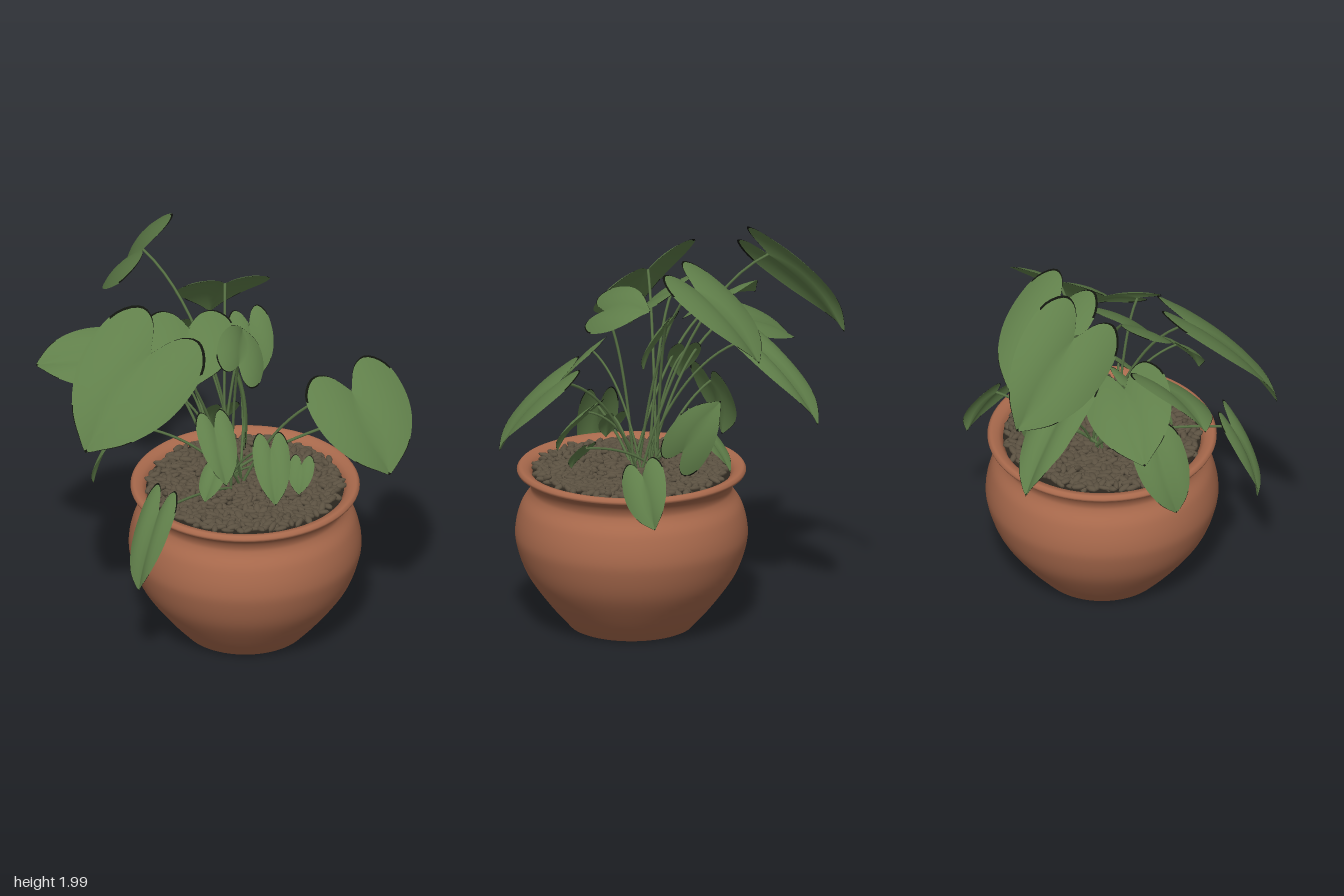
import * as THREE from 'three';
import { mergeGeometries } from 'three/addons/utils/BufferGeometryUtils.js';

const V = (x, y, z) => new THREE.Vector3(x, y, z);
const spline = (pts) => new THREE.SplineCurve(pts.map((p) => new THREE.Vector2(...p)));
const CX = 0.11, CZ = 0.22; // pot axis

function mat(name, color, side = THREE.FrontSide) {
  const m = new THREE.MeshStandardMaterial({ color, side });
  m.name = name;
  return m;
}

function seeded(seed) {
  return () => {
    seed = (seed * 16807) % 2147483647;
    return seed / 2147483647;
  };
}

// Half outline of a heart-shaped leaf: x = across, y = along the midrib
const outline = spline([[0, 0], [0.28, -0.24], [0.62, -0.3], [0.93, -0.13], [1, 0.18],
  [0.89, 0.48], [0.58, 0.76], [0.2, 0.93], [0, 1]]);
const COLUMNS = [0, 0.2, 0.4, 0.6, 0.8, 0.965, 1];

// Heart-shaped blade from stalk joint to tip, rolled about its midrib;
// group 0 is the green blade, group 1 the withered margin on lobes and tip
function leafGeometry(joint, tip, halfWidth, roll) {
  const D = tip.clone().sub(joint), len = D.length(), axis = D.clone().normalize();
  const flat = V(-D.z, 0, D.x).normalize();
  const lift = flat.clone().cross(axis);
  const side = flat.clone().multiplyScalar(Math.cos(roll)).addScaledVector(lift, Math.sin(roll));
  const up = side.clone().cross(axis);
  const rows = 30, cols = COLUMNS.length - 1, w = 2 * cols + 1, pos = [], blade = [], margin = [];
  for (let i = 0; i <= rows; i++) {
    const t = i / rows, o = outline.getPoint(t);
    for (let k = -cols; k <= cols; k++) {
      const s = Math.sign(k) * COLUMNS[Math.abs(k)];
      const v = s * o.x, a = Math.abs(v), u = t + (o.y - t) * Math.abs(s);
      const bow = len * (0.22 * u * (1 - u) + 0.2 * a * (1 - a));
      const p = joint.clone().addScaledVector(D, u).addScaledVector(side, v * halfWidth).addScaledVector(up, bow);
      pos.push(p.x, p.y, p.z);
      if (i < rows && k < cols) {
        const c = i * w + k + cols, d = c + w;
        const rim = (k === -cols || k === cols - 1) && (t < 0.4 || t > 0.7);
        (rim || t > 0.95 ? margin : blade).push(c, c + 1, d, d, c + 1, d + 1);
      }
    }
  }
  const g = new THREE.BufferGeometry();
  g.setAttribute('position', new THREE.Float32BufferAttribute(pos, 3));
  g.setIndex([...blade, ...margin]);
  g.addGroup(0, blade.length, 0);
  g.addGroup(blade.length, margin.length, 1);
  g.computeVertexNormals();
  return g;
}

// Tall and drooping leaves: joint xyz, tip xyz, half width, roll
const LARGE = [
  [-0.2, 1.82, -0.38, -0.16, 1.47, -0.77, 0.23, 0.78],
  [0.12, 1.72, -0.1, 0.16, 1.38, -0.43, 0.225, 0],
  [-0.39, 1.63, 0.27, -0.79, 1.25, 0.45, 0.28, 0.5],
  [-0.46, 1.46, -0.03, -0.83, 1.42, -0.15, 0.17, 0.53],
  [-0.33, 1.45, -0.15, -0.64, 1.26, -0.38, 0.21, -0.24],
  [-0.13, 1.62, 0.08, -0.18, 1.42, 0.3, 0.225, 0.1],
  [0.02, 1.54, 0.38, 0.13, 1.59, 0.12, 0.14, -0.7],
  [0.2, 1.55, 0.02, 0.22, 1.32, 0.13, 0.105, -0.23],
  [0.57, 1.34, 0.46, 0.67, 1.0, 0.73, 0.26, -0.1],
  [-0.12, 1.41, -0.3, -0.12, 1.0, -0.65, 0.14, -0.1],
  [-0.43, 1.08, -0.03, -0.57, 0.77, -0.05, 0.13, -0.4],
  [-0.44, 0.9, 0.53, -0.56, 0.51, 0.58, 0.1, 0.1],
  [0.61, 0.91, 0.03, 0.72, 0.68, -0.06, 0.115, -0.8],
  [0.2, 0.92, -0.06, 0.2, 1.19, -0.25, 0.12, -1.35],
];

// Small low leaves: joint xyz, heading from the front, drop of the tip
const SMALL = [
  [-0.14, 1.28, 0.48, 0, 0.23], [0.17, 1.07, 0.42, -0.2, 0.22], [0.34, 0.94, 0.39, -0.5, 0.12],
  [-0.09, 0.97, 0.36, -0.9, 0.13], [-0.15, 1.32, 0.02, -1.1, 0.18], [0.1, 1.03, -0.1, 3.1, 0.23],
];

export function createModel() {
  const model = new THREE.Group();
  model.name = 'pottedPlant';
  const terracotta = mat('terracotta', 0xa8694c);
  const leafGreen = mat('leafGreen', 0x607f4a, THREE.DoubleSide);
  const marginBlack = mat('marginBlack', 0x11140d, THREE.DoubleSide);
  const stalkGreen = mat('stalkGreen', 0x567043);
  const pebbleBrown = mat('pebbleBrown', 0x5b5141);
  const soilDark = mat('soilDark', 0x2b261e);
  const add = (name, geo, material, parent = model) => {
    const m = new THREE.Mesh(geo, material);
    m.name = name;
    parent.add(m);
    return m;
  };

  // Pot: hollow foot, round belly, narrow neck and flared lip
  const foot = spline([[0.001, 0.03], [0.25, 0.03], [0.27, 0.003], [0.29, 0]]).points;
  const belly = spline([[0.3, 0.005], [0.4, 0.12], [0.505, 0.27], [0.555, 0.41], [0.56, 0.5],
    [0.535, 0.6], [0.495, 0.665], [0.487, 0.7], [0.505, 0.74], [0.54, 0.765]]).getPoints(48);
  const lip = spline([[0.55, 0.772], [0.553, 0.785], [0.535, 0.801], [0.49, 0.78], [0.465, 0.72]]).getPoints(16);
  add('pot', new THREE.LatheGeometry([...foot, ...belly, ...lip], 72), terracotta).position.set(CX, 0, CZ);

  // Soil under the pebbles
  const soil = add('soil', new THREE.CircleGeometry(0.478, 48), soilDark);
  soil.rotation.x = -Math.PI / 2;
  soil.position.set(CX, 0.765, CZ);

  // Pebbles: long flat stones spread on a spiral
  const rnd = seeded(77), stones = [], dummy = new THREE.Object3D();
  const stone = new THREE.SphereGeometry(1, 8, 6);
  const COUNT = 680;
  for (let i = 0; i < COUNT; i++) {
    const r = 0.465 * Math.sqrt((i + 0.5) / COUNT), a = i * 2.39996;
    dummy.position.set(CX + r * Math.cos(a), 0.775 + rnd() * 0.016, CZ + r * Math.sin(a));
    dummy.rotation.set((rnd() - 0.5) * 0.7, rnd() * Math.PI * 2, (rnd() - 0.5) * 0.7);
    dummy.scale.set(0.028 + rnd() * 0.012, 0.011 + rnd() * 0.004, 0.014 + rnd() * 0.006);
    dummy.updateMatrix();
    stones.push(stone.clone().applyMatrix4(dummy.matrix));
  }
  add('pebbles', mergeGeometries(stones), pebbleBrown);

  // Leaves, each on its own arching stalk
  const foliage = new THREE.Group();
  foliage.name = 'foliage';
  model.add(foliage);
  const grow = (kind, i, joint, tip, halfWidth, roll, thickness) => {
    add(kind + 'Leaf' + (i + 1), leafGeometry(joint, tip, halfWidth, roll), [leafGreen, marginBlack], foliage);
    const turn = i * 2.4;
    const root = V(0.05 + 0.06 * Math.cos(turn), 0.77, 0.17 + 0.06 * Math.sin(turn));
    const bend = root.clone().lerp(joint, 0.38);
    bend.y = root.y + (joint.y - root.y) * 0.85;
    const path = new THREE.QuadraticBezierCurve3(root, bend, joint);
    add(kind + 'Stalk' + (i + 1), new THREE.TubeGeometry(path, 16, thickness, 6), stalkGreen, foliage);
  };
  LARGE.forEach(([x, y, z, tx, ty, tz, halfWidth, roll], i) => {
    grow('large', i, V(x, y, z), V(tx, ty, tz), halfWidth, roll, 0.007);
  });
  SMALL.forEach(([x, y, z, heading, drop], i) => {
    const joint = V(x, y, z), run = 0.75 * drop;
    const tip = joint.clone().add(V(run * Math.sin(heading), -drop, run * Math.cos(heading)));
    grow('small', i, joint, tip, 0.03 + 0.27 * drop, 0, 0.006);
  });

  return model;
}
